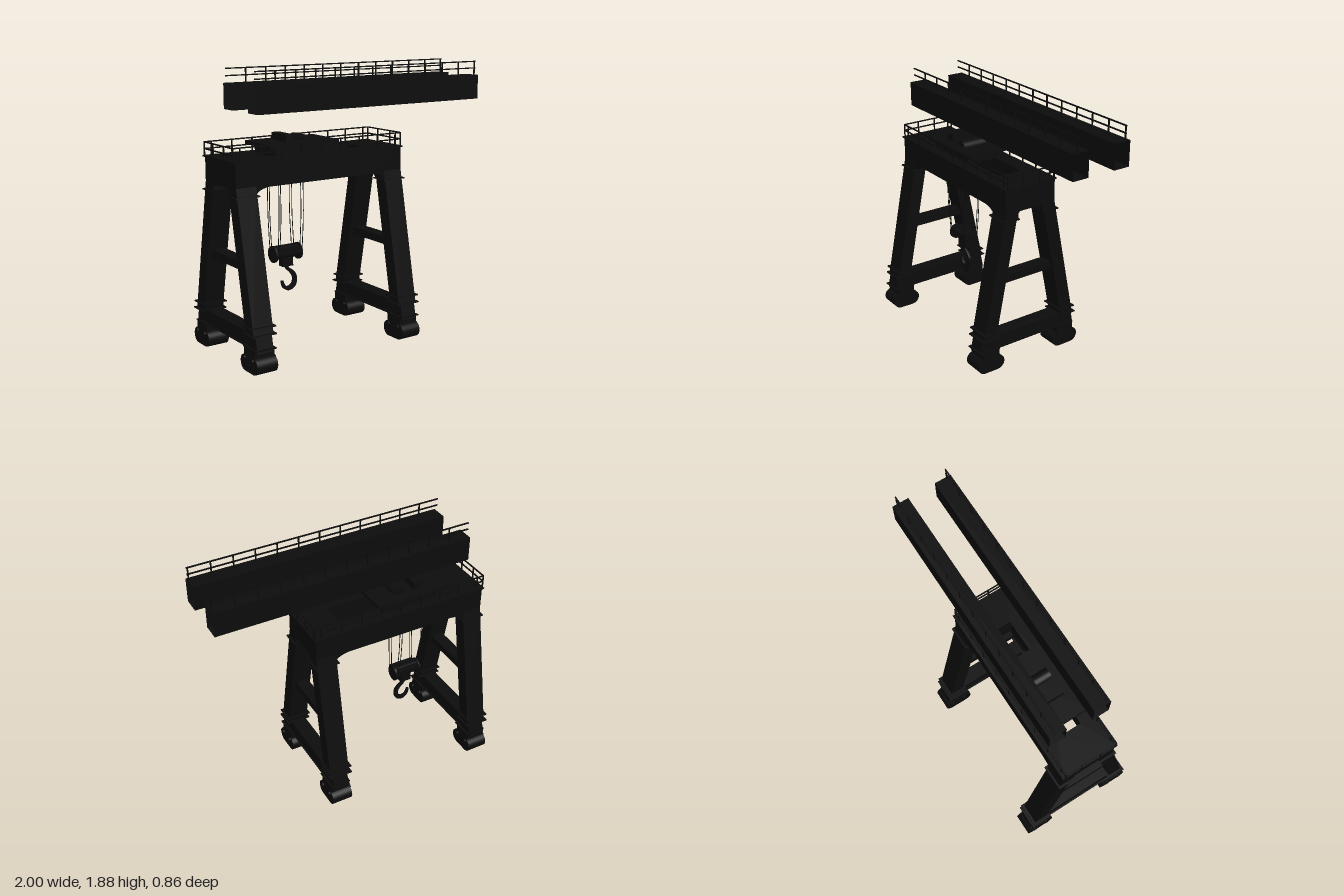
import * as THREE from 'three';

const paint = new THREE.MeshStandardMaterial({ color: 0x0c0c0c, side: THREE.DoubleSide });

export function createModel() {
  const root = new THREE.Group();
  root.name = 'gantryCrane';

  const add = (name, geo, parent = root) => {
    const mesh = new THREE.Mesh(geo, paint);
    mesh.name = name;
    parent.add(mesh);
    return mesh;
  };
  // box given by its limits on each axis
  const box = (name, x0, x1, y0, y1, z0, z1, parent) => add(name,
    new THREE.BoxGeometry(x1 - x0, y1 - y0, z1 - z0)
      .translate((x0 + x1) / 2, (y0 + y1) / 2, (z0 + z1) / 2), parent);
  const extrude = (name, shape, depth, parent) => add(name,
    new THREE.ExtrudeGeometry(shape, { depth, bevelEnabled: false, curveSegments: 8 }), parent);
  const polygon = pts => new THREE.Shape(pts.map(p => new THREE.Vector2(...p)));
  const group = name => {
    const g = new THREE.Group();
    g.name = name;
    root.add(g);
    return g;
  };
  const sides = [1, -1];

  // Legs, bogies and cross members at both ends of the span
  const legZ = y => 0.152 + 0.2 * (1.15 - y);
  for (const cx of [-0.912, 0.24]) {
    const frame = group('legFrame');
    for (const s of sides) {
      const slanted = (name, w, d, y0, y1) => {
        const geo = new THREE.BoxGeometry(w, y1 - y0, d).translate(cx, (y0 + y1) / 2, 0);
        const p = geo.attributes.position;
        for (let i = 0; i < p.count; i++) p.setZ(i, p.getZ(i) + s * legZ(p.getY(i)));
        geo.computeVertexNormals();
        add(name, geo, frame);
      };
      slanted('leg', 0.145, 0.1, 0.25, 1.17);
      slanted('legFoot', 0.118, 0.1, 0.14, 0.25);
      for (const y of [0.25, 0.298, 1.1])
        slanted('legCollar', 0.176, y > 1 ? 0.124 : 0.136, y - 0.004, y + 0.004);

      // rounded bogie housing with a block and flange above it
      const zc = s * 0.322;
      const bogie = new THREE.Shape();
      bogie.absarc(0.052, 0.055, 0.055, -Math.PI / 2, Math.PI / 2, false);
      bogie.absarc(-0.052, 0.055, 0.055, Math.PI / 2, Math.PI * 1.5, false);
      const b = extrude('bogie', bogie, 0.15, frame);
      b.rotation.y = -Math.PI / 2;
      b.position.set(cx + 0.075, 0, zc);
      box('bogieBlock', cx - 0.072, cx + 0.072, 0.1, 0.165, zc - 0.068, zc + 0.068, frame);
      box('bogieFlange', cx - 0.075, cx + 0.075, 0.157, 0.165, zc - 0.07, zc + 0.092, frame);
      for (const dz of [-0.05, 0.05]) {
        add('axle', new THREE.CylinderGeometry(0.014, 0.014, 0.174, 12)
          .rotateZ(Math.PI / 2).translate(cx, 0.09, zc + dz), frame);
      }
    }
    box('lowerCrossBeam', cx - 0.055, cx + 0.055, 0.165, 0.255, -0.34, 0.34, frame);
    box('lowerCrossBeamFlange', cx - 0.064, cx + 0.064, 0.157, 0.165, -0.34, 0.34, frame);
    box('middleCrossBeam', cx - 0.045, cx + 0.045, 0.635, 0.69, -0.23, 0.23, frame);
  }

  // Main girders with curved knees, joined by end beams
  const main = group('mainGirder');
  const side = new THREE.Shape();
  side.moveTo(-0.985, 1.1);
  side.lineTo(-0.84, 1.1);
  side.quadraticCurveTo(-0.83, 1.14, -0.74, 1.15);
  side.lineTo(0.07, 1.15);
  side.quadraticCurveTo(0.16, 1.14, 0.17, 1.1);
  side.lineTo(0.312, 1.1);
  side.lineTo(0.312, 1.32);
  side.lineTo(-0.985, 1.32);
  for (const s of sides) {
    extrude('girder', side, 0.1, main).position.z = s > 0 ? 0.1 : -0.2;
  }
  const endBeam = polygon([[-0.2, 1.32], [-0.2, 1.15], [-0.12, 1.1], [-0.105, 1.13], [-0.085, 1.15],
    [0.085, 1.15], [0.105, 1.13], [0.12, 1.1], [0.2, 1.15], [0.2, 1.32]]);
  for (const [x, w] of [[-0.984, 0.145], [0.17, 0.141]]) {
    const m = extrude('endBeam', endBeam, w, main);
    m.rotation.y = Math.PI / 2;
    m.position.x = x;
  }
  box('endDeckRight', -0.985, -0.75, 1.155, 1.32, -0.1, 0.1, main);
  box('endDeckLeft', 0.08, 0.311, 1.155, 1.32, -0.1, 0.1, main);
  const deck = polygon([[-0.998, -0.208], [0.322, -0.208], [0.322, 0.208], [-0.998, 0.208]]);
  deck.holes.push(new THREE.Path([[-0.75, -0.09], [-0.75, 0.09], [0.08, 0.09], [0.08, -0.09]]
    .map(p => new THREE.Vector2(...p))));
  const deckMesh = extrude('deckPlate', deck, 0.01, main);
  deckMesh.rotation.x = -Math.PI / 2;
  deckMesh.position.y = 1.314;

  // Railings: posts with two horizontal bars
  const T = 0.004;
  const railing = (name, x0, x1, posts, yBase, heights, z) => {
    const g = group(name);
    const top = Math.max(...heights);
    for (const h of heights) box('railBar', x0, x1, h - T, h + T, z - T, z + T, g);
    for (const x of posts) box('railPost', x - T, x + T, yBase, top, z - T, z + T, g);
  };
  const spaced = (start, n, step = 0.152) => Array.from({ length: n }, (_, i) => start + i * step);
  for (const s of sides) {
    railing('deckRailing', -0.999, 0.321, [-0.995, ...spaced(-0.945, 9), 0.317], 1.32, [1.368, 1.412], s * 0.188);
    railing('upperRailing', -0.83, 1, spaced(-0.681, 12), 1.77, [1.828, 1.875], s * 0.185);
  }
  for (const x of [-0.995, 0.317]) {
    const g = group('endRailing');
    for (const y of [1.368, 1.412]) box('railBar', x - T, x + T, y - T, y + T, -0.192, 0.192, g);
    for (const z of [-0.07, 0.07]) box('railPost', x - T, x + T, 1.32, 1.412, z - T, z + T, g);
  }

  // Upper boom: two hollow beams open at both ends
  for (const s of sides) {
    const beam = box('upperBoom', -0.83, 1, 1.61, 1.78, s > 0 ? 0.1 : -0.218, s > 0 ? 0.218 : -0.1);
    beam.geometry.setIndex(Array.from(beam.geometry.index.array).slice(12));
    beam.geometry.clearGroups();
  }

  // Trolley with winch machinery
  const trolley = group('trolley');
  box('trolleyBody', -0.655, -0.235, 1.315, 1.38, -0.13, 0.13, trolley);
  box('trolleyPlate', -0.71, -0.178, 1.378, 1.403, -0.16, 0.16, trolley);
  box('winchHousing', -0.55, -0.492, 1.4, 1.452, -0.09, 0.09, trolley);
  add('winchDrum', new THREE.CylinderGeometry(0.042, 0.042, 0.18, 20)
    .rotateX(Math.PI / 2).translate(-0.377, 1.395, 0), trolley);

  // Hoist ropes, bowed slightly
  const hoist = group('hoist');
  for (const x of [-0.597, -0.583, -0.427, -0.408]) {
    for (const s of sides) {
      const path = new THREE.CatmullRomCurve3([[1.34, 0.066], [1.1, 0.071], [0.9, 0.071], [0.66, 0.052]]
        .map(([y, z]) => new THREE.Vector3(x, y, s * z)));
      add('rope', new THREE.TubeGeometry(path, 10, 0.0028, 5), hoist);
    }
  }

  // Hook block: drum with end sheaves, neck and hook
  const xCyl = (name, r, x0, x1, y) => add(name, new THREE.CylinderGeometry(r, r, x1 - x0, 20)
    .rotateZ(Math.PI / 2).translate((x0 + x1) / 2, y, 0), hoist);
  xCyl('blockDrum', 0.042, -0.6, -0.412, 0.648);
  xCyl('sheaveRight', 0.057, -0.611, -0.595, 0.645);
  xCyl('sheaveLeft', 0.057, -0.418, -0.403, 0.645);
  box('ropeArm', -0.6, -0.412, 0.655, 0.685, -0.055, 0.055, hoist);
  box('neck', -0.545, -0.463, 0.553, 0.62, -0.025, 0.025, hoist);
  const hook = new THREE.Shape();
  hook.moveTo(-0.515, 0.56);
  hook.splineThru([[-0.506, 0.53], [-0.478, 0.503], [-0.456, 0.47], [-0.458, 0.43], [-0.485, 0.407],
    [-0.515, 0.415], [-0.532, 0.452]].map(p => new THREE.Vector2(...p)));
  hook.lineTo(-0.546, 0.452);
  hook.splineThru([[-0.537, 0.41], [-0.51, 0.384], [-0.478, 0.379], [-0.443, 0.396], [-0.424, 0.435],
    [-0.43, 0.485], [-0.46, 0.52], [-0.487, 0.54], [-0.49, 0.56]].map(p => new THREE.Vector2(...p)));
  extrude('hook', hook, 0.018, hoist).position.z = -0.009;

  return root;
}
